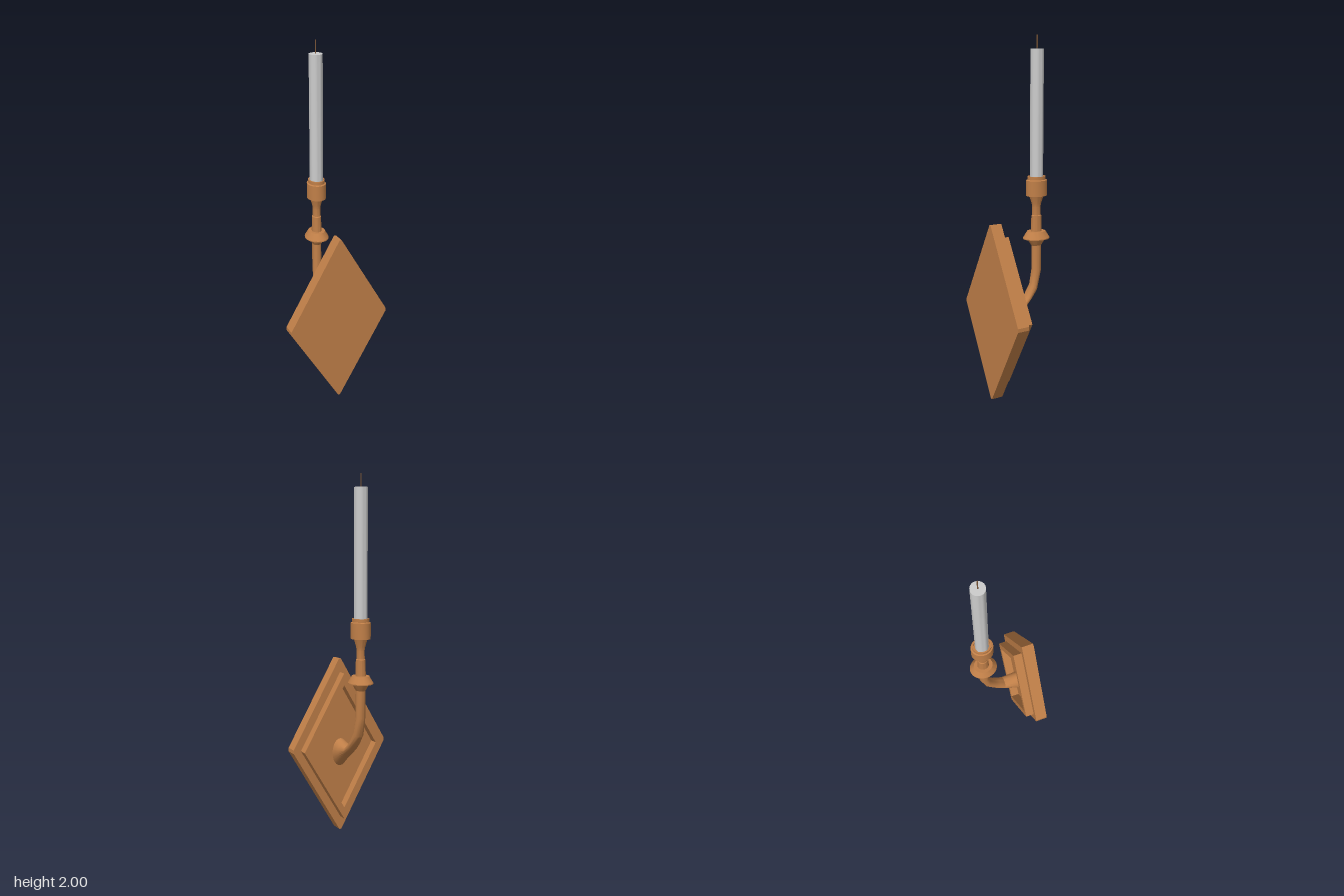
import * as THREE from 'three';
import { toCreasedNormals } from 'three/addons/utils/BufferGeometryUtils.js';

const bronze = new THREE.MeshStandardMaterial({ color: 0xc07f48, side: THREE.DoubleSide });
const wax = new THREE.MeshStandardMaterial({ color: 0xcccccc });
const wickColour = new THREE.MeshStandardMaterial({ color: 0x7a5638 });

const MID_Y = 0.503; // centre height of the wall plate
const STEM_Z = -0.108; // axis of the candle

// Diamond outline with optional blunted tips
function diamond(PathType, w, h, cut = 0) {
  const p = new PathType();
  const cy = cut * 1.7;
  const pts = cut
    ? [[w, -cy], [w, cy], [cut, h], [-cut, h], [-w, cy], [-w, -cy], [-cut, -h], [cut, -h]]
    : [[w, 0], [0, h], [-w, 0], [0, -h]];
  p.setFromPoints(pts.map(([x, y]) => new THREE.Vector2(x, y)));
  p.closePath();
  return p;
}

function slab(name, shape, zBack, zFront) {
  const geo = new THREE.ExtrudeGeometry(shape, { depth: zFront - zBack, bevelEnabled: false });
  const mesh = new THREE.Mesh(geo, bronze);
  mesh.name = name;
  mesh.position.set(0, MID_Y, zBack);
  return mesh;
}

// Turned part around the candle axis; profile is [radius, y] from bottom to top
function turned(name, profile, material, xScale = 1) {
  const pts = profile.map(([r, y]) => new THREE.Vector2(r, y));
  const geo = toCreasedNormals(new THREE.LatheGeometry(pts, 32), 0.4);
  const mesh = new THREE.Mesh(geo, material);
  mesh.name = name;
  mesh.position.z = STEM_Z;
  mesh.scale.x = xScale;
  return mesh;
}

// Swept arm: each ring is [inner z, inner y, outer z, outer y, half width in x]
function armGeometry(rings, n = 24) {
  const pos = [], index = [];
  for (const [iz, iy, oz, oy, rx] of rings) {
    for (let i = 0; i < n; i++) {
      const a = (i / n) * Math.PI * 2, c = Math.cos(a) / 2;
      pos.push(rx * Math.sin(a), (iy + oy) / 2 + c * (oy - iy), (iz + oz) / 2 + c * (oz - iz));
    }
  }
  for (let r = 0; r < rings.length - 1; r++) {
    for (let i = 0; i < n; i++) {
      const a = r * n + i, b = r * n + (i + 1) % n;
      index.push(a, b, a + n, b, b + n, a + n);
    }
  }
  const geo = new THREE.BufferGeometry();
  geo.setAttribute('position', new THREE.Float32BufferAttribute(pos, 3));
  geo.setIndex(index);
  return toCreasedNormals(geo, 0.45);
}

export function createModel() {
  const model = new THREE.Group();
  model.name = 'candleSconce';

  // Diamond wall plate with a raised frame around its open middle
  const plate = new THREE.Group();
  plate.name = 'wallPlate';
  const frame = diamond(THREE.Shape, 0.25, 0.425);
  frame.holes.push(diamond(THREE.Path, 0.21, 0.357));
  plate.add(
    slab('basePlate', diamond(THREE.Shape, 0.294, 0.503, 0.006), 0.118, 0.185),
    slab('raisedFrame', frame, 0.07, 0.118),
  );
  model.add(plate);

  // Curved arm flaring into the plate
  const arm = new THREE.Mesh(armGeometry([
    [0.118, 0.545, 0.118, 0.385, 0.05],
    [0.07, 0.532, 0.07, 0.43, 0.045],
    [0.018, 0.522, 0.005, 0.483, 0.037],
    [-0.01, 0.547, -0.035, 0.515, 0.034],
    [-0.035, 0.573, -0.07, 0.555, 0.032],
    [-0.07, 0.64, -0.107, 0.6, 0.029],
    [-0.081, 0.72, -0.135, 0.71, 0.026],
    [-0.08, 0.88, -0.136, 0.88, 0.025],
  ]), bronze);
  arm.name = 'arm';
  model.add(arm);

  // Drip pan, stem and candle cup
  model.add(turned('dripPan', [
    [0.028, 0.86], [0.034, 0.868], [0.054, 0.9], [0.077, 0.9],
    [0.077, 0.905], [0.053, 0.942], [0.03, 0.942],
  ], bronze, 0.85));
  model.add(turned('stem', [
    [0.032, 0.94], [0.03, 0.99], [0.029, 1.03], [0.025, 1.034], [0.024, 1.08],
    [0.028, 1.1], [0.041, 1.14],
  ], bronze, 0.85));
  model.add(turned('candleCup', [
    [0.036, 1.14], [0.06, 1.142], [0.06, 1.228], [0.052, 1.232],
    [0.052, 1.25], [0.044, 1.25], [0.043, 1.235], [0, 1.235],
  ], bronze, 0.85));

  // Candle and wick
  model.add(turned('candle', [
    [0, 1.2], [0.036, 1.2], [0.036, 1.93], [0, 1.93],
  ], wax));
  model.add(turned('wick', [[0.003, 1.92], [0.003, 2], [0, 2]], wickColour));

  return model;
}
